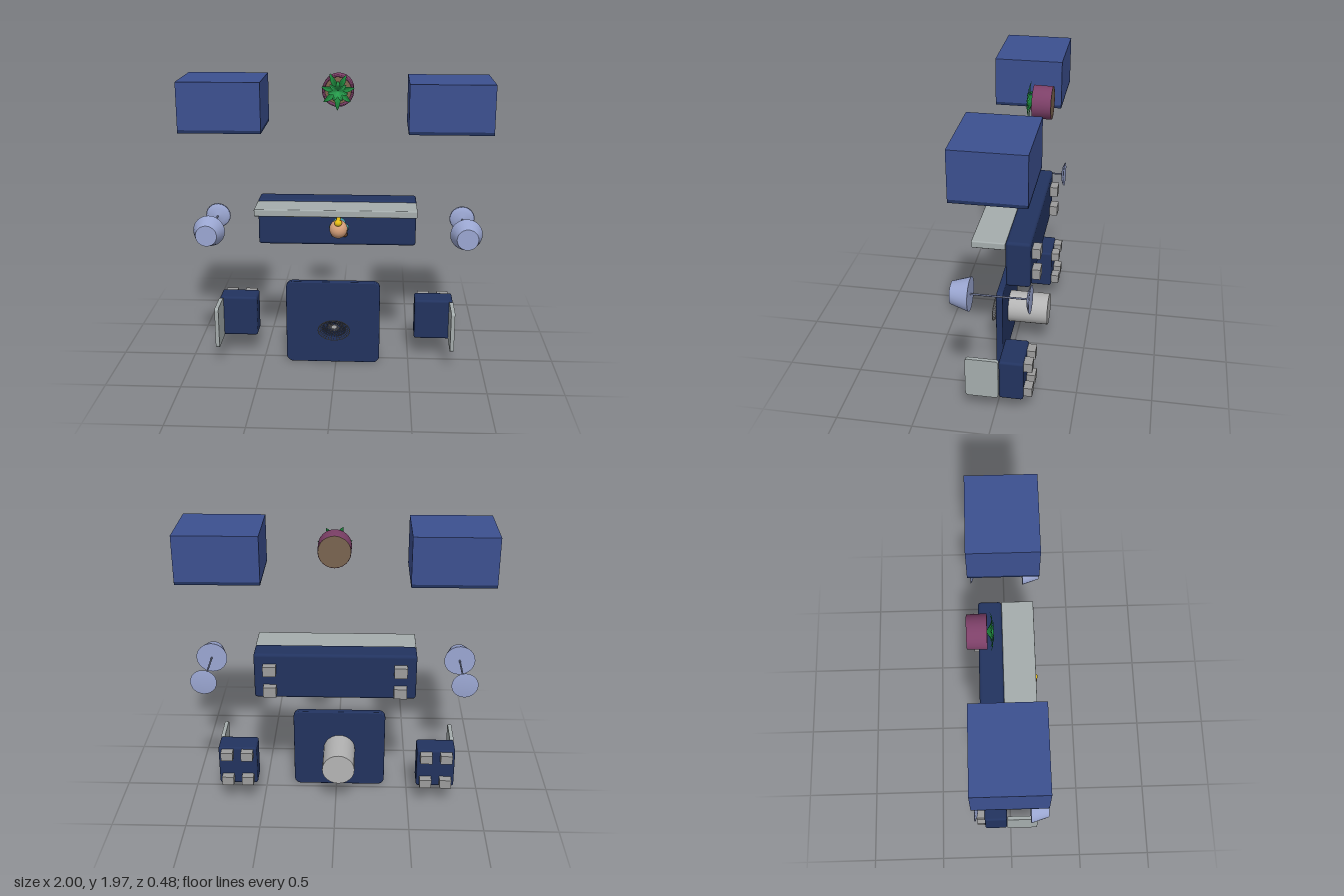
import * as THREE from 'three';
import { RoundedBoxGeometry } from 'three/addons/geometries/RoundedBoxGeometry.js';

const NAVY = 0x22335f, BLUE = 0x3c5090, GREY = 0xa5adad, LEG = 0x9c9c9c, LILAC = 0x9ba7d2;
const SKIN = 0xd9a27c, TEAL = 0x4699a8, HAIR = 0xe6bd14, BROWN = 0x6f4526;

function add(parent, name, geo, color, x = 0, y = 0, z = 0, flat = false) {
  const mat = new THREE.MeshStandardMaterial({ color, side: THREE.DoubleSide, flatShading: flat });
  const mesh = new THREE.Mesh(geo, mat);
  mesh.name = name;
  mesh.position.set(x, y, z);
  parent.add(mesh);
  return mesh;
}

function group(parent, name, x = 0, y = 0, z = 0) {
  const g = new THREE.Group();
  g.name = name;
  g.position.set(x, y, z);
  parent.add(g);
  return g;
}

// Box given by its limits; r rounds the edges
function block(parent, name, color, [x0, x1], [y0, y1], [z0, z1], r = 0) {
  const s = [x1 - x0, y1 - y0, z1 - z0];
  const geo = r ? new RoundedBoxGeometry(...s, 3, r) : new THREE.BoxGeometry(...s);
  return add(parent, name, geo, color, (x0 + x1) / 2, (y0 + y1) / 2, (z0 + z1) / 2);
}

// Cylinder along z, from z0 (radius r0) to z1 (radius r1)
function rod(parent, name, color, x, y, z0, z1, r0, r1 = r0, sides = 20, open = false) {
  const geo = new THREE.CylinderGeometry(r1, r0, z1 - z0, sides, 1, open).rotateX(Math.PI / 2);
  return add(parent, name, geo, color, x, y, (z0 + z1) / 2);
}

function tube(parent, name, color, points, r, n = 12) {
  const curve = new THREE.CatmullRomCurve3(points.map((p) => new THREE.Vector3(...p)));
  return add(parent, name, new THREE.TubeGeometry(curve, n, r, 10), color);
}

function ball(parent, name, color, pos, size) {
  return add(parent, name, new THREE.SphereGeometry(1, 20, 14).scale(...size), color, ...pos);
}

// Plate in the xy plane with rounded corners
function roundedRect(w, h, r) {
  const s = new THREE.Shape(), a = w / 2 - r, b = h / 2 - r;
  s.absarc(a, b, r, 0, Math.PI / 2);
  s.absarc(-a, b, r, Math.PI / 2, Math.PI);
  s.absarc(-a, -b, r, Math.PI, Math.PI * 1.5);
  s.absarc(a, -b, r, Math.PI * 1.5, Math.PI * 2);
  return s;
}

function feet(parent, xs, ys, w, h) {
  for (const x of xs) for (const y of ys)
    block(parent, 'foot', LEG, [x - w / 2, x + w / 2], [y - h / 2, y + h / 2], [-0.24, -0.18]);
}

// Cabinet whose drawer front faces -y
function cabinet(root, x0, x1, y0, y1) {
  const g = group(root, 'cabinet');
  const cx = (x0 + x1) / 2, w = x1 - x0;
  block(g, 'cabinetBody', BLUE, [x0, x1], [y0 + 0.02, y1], [-0.24, 0.21]);
  const frame = roundedRect(w, 0.45, 0.002);
  for (const [z, d] of [[-0.145, 0.07], [-0.025, 0.11], [0.11, 0.11]]) {
    const hole = new THREE.Path();
    const a = w / 2 - 0.05;
    hole.moveTo(-a, z + 0.015 - d / 2).lineTo(-a, z + 0.015 + d / 2)
      .lineTo(a, z + 0.015 + d / 2).lineTo(a, z + 0.015 - d / 2).closePath();
    frame.holes.push(hole);
  }
  const face = new THREE.ExtrudeGeometry(frame, { depth: 0.02, bevelEnabled: false }).rotateX(Math.PI / 2);
  add(g, 'drawerFrame', face, NAVY, cx, y0 + 0.02, -0.015);
  for (const z of [-0.025, 0.11]) {
    block(g, 'drawer', 0x7d7a78, [cx - w / 2 + 0.065, cx + w / 2 - 0.065], [y0 + 0.006, y0 + 0.03], [z - 0.042, z + 0.042]);
    ball(g, 'drawerKnob', 0x25252c, [cx, y0 + 0.006, z], [0.025, 0.008, 0.016]);
  }
}

function lamp(root, x, y) {
  const g = group(root, 'lamp', x, y, 0);
  const dome = [[0.001, -0.24], [0.087, -0.24], [0.08, -0.231], [0.05, -0.22], [0.001, -0.212]];
  add(g, 'lampBase', new THREE.LatheGeometry(dome.map((p) => new THREE.Vector2(...p)), 24).rotateX(Math.PI / 2), LILAC);
  rod(g, 'lampPole', 0x7780a0, 0, 0, -0.22, 0.14, 0.006, 0.006, 8);
  rod(g, 'lampShade', LILAC, 0, 0, 0.125, 0.24, 0.106, 0.07, 24);
}

function armchair(root, side, x0, x1) {
  const g = group(root, 'armchair');
  block(g, 'chairSeat', NAVY, [x0, x1], [0.14, 0.425], [-0.185, -0.028], 0.016);
  const back = side > 0 ? [x1 - 0.026, x1] : [x0, x0 + 0.026];
  const slab = new THREE.ExtrudeGeometry(roundedRect(0.215, 0.285, 0.02), { depth: 0.026, bevelEnabled: false });
  slab.rotateY(Math.PI / 2);
  add(g, 'chairBack', slab, GREY, back[0], 0.282, 0.082);
  const c = (x0 + x1) / 2;
  feet(g, [c - 0.068, c + 0.068], [0.19, 0.383], 0.08, 0.062);
}

// Pointed leaf arching outward from the pot, folded along its middle
function leaf(angle, length, width, height) {
  const n = 8, pos = [], idx = [];
  for (let i = 0; i <= n; i++) {
    const t = i / n, w = width * Math.sin(Math.PI * Math.min(1, 0.12 + 0.88 * t)) ** 0.8;
    const z = height * Math.sin(t * 2.3);
    pos.push(length * t, -w, z + w * 0.3, length * t, 0, z, length * t, w, z + w * 0.3);
    if (i < n) for (let k = 0; k < 2; k++) {
      const a = i * 3 + k;
      idx.push(a, a + 3, a + 1, a + 1, a + 3, a + 4);
    }
  }
  const geo = new THREE.BufferGeometry();
  geo.setAttribute('position', new THREE.Float32BufferAttribute(pos, 3));
  geo.setIndex(idx);
  geo.computeVertexNormals();
  return geo.rotateZ(angle);
}

function plant(root) {
  const g = group(root, 'pottedPlant', 0.005, 1.857, 0);
  const pot = [[0.103, -0.24], [0.106, -0.12], [0.09, -0.12], [0.088, -0.135]];
  add(g, 'pot', new THREE.LatheGeometry(pot.map((p) => new THREE.Vector2(...p)), 24).rotateX(Math.PI / 2), 0x7d4068);
  rod(g, 'potBottom', 0x7a6450, 0, 0, -0.239, -0.23, 0.102);
  rod(g, 'soil', 0x80654e, 0, 0, -0.15, -0.135, 0.089);
  for (let i = 0; i < 7; i++) {
    const a = i * Math.PI * 2 / 7 + 0.2;
    add(g, 'outerLeaf', leaf(a, 0.112 + 0.016 * (i % 3) / 2, 0.019, 0.035), 0x1d8a3e, 0, 0, -0.128, true);
    add(g, 'innerLeaf', leaf(a + 0.45, 0.07, 0.015, 0.04), 0x25994a, 0, 0, -0.124, true);
  }
}

function sofa(root) {
  const g = group(root, 'sofa');
  block(g, 'sofaSeat', NAVY, [-0.53, 0.535], [0.82, 1.137], [-0.187, -0.028], 0.02);
  block(g, 'sofaBack', GREY, [-0.53, 0.535], [1.08, 1.128], [-0.028, 0.187], 0.008);
  feet(g, [-0.425, 0.43], [0.885, 1.035], 0.085, 0.07);
}

function person(root) {
  const g = group(root, 'seatedFigure', 0.02, 0, 0);
  ball(g, 'head', SKIN, [0, 0.987, 0.135], [0.06, 0.062, 0.063]);
  ball(g, 'hairBun', HAIR, [0, 1.04, 0.175], [0.025, 0.022, 0.025]);
  tube(g, 'hair', HAIR, [[0, 1.045, 0.175], [0, 1.052, 0.12], [0, 1.045, 0.06], [0, 1.03, 0.005]], 0.015);
  ball(g, 'torso', TEAL, [0, 0.995, 0.035], [0.045, 0.037, 0.065]);
  for (const s of [-1, 1]) {
    tube(g, 'arm', TEAL, [[s * 0.035, 1, 0.08], [s * 0.053, 0.975, 0.05], [s * 0.045, 0.945, 0.03]], 0.014);
    ball(g, 'hand', SKIN, [s * 0.042, 0.935, 0.03], [0.013, 0.015, 0.013]);
    tube(g, 'leg', SKIN, [[s * 0.022, 0.99, 0], [s * 0.028, 0.945, 0.035], [s * 0.034, 0.912, -0.005]], 0.016);
    ball(g, 'shoe', BROWN, [s * 0.036, 0.905, -0.008], [0.02, 0.019, 0.018]);
  }
}

function table(root) {
  const g = group(root, 'table', -0.02, 0.295, 0);
  const top = new THREE.ExtrudeGeometry(roundedRect(0.624, 0.574, 0.038),
    { depth: 0.029, bevelSize: 0.008, bevelThickness: 0.008, bevelSegments: 3, curveSegments: 6 });
  add(g, 'tableTop', top, NAVY, 0, 0, 0.043);
  rod(g, 'tablePedestal', 0xb4b4b4, 0, 0, -0.24, 0.036, 0.11, 0.11, 24);
}

// Oval wire bowl opening towards +z
function bowl(root) {
  const g = group(root, 'wireBowl', -0.01, 0.265, 0.081);
  g.scale.y = 0.68;
  const profile = (t) => [0.015 + 0.092 * t, 0.003 + 0.06 * t * t];
  for (let i = 0; i <= 7; i++) {
    const [r, z] = profile(i / 7);
    add(g, 'bowlRing', new THREE.TorusGeometry(r, i === 7 ? 0.0035 : 0.0016, 5, 36), 0x8c8a88, 0, 0, z);
  }
  for (let i = 0; i < 32; i++) {
    const a = i * Math.PI / 16;
    const pts = [0, 0.33, 0.67, 1].map((t) => {
      const [r, z] = profile(t);
      return [r * Math.cos(a), r * Math.sin(a), z];
    });
    tube(g, 'bowlRib', 0x77736f, pts, 0.0015, 6);
  }
  rod(g, 'bowlBase', 0xb0b0b0, 0, 0, 0, 0.005, 0.018);
}

export function createModel() {
  const root = new THREE.Group();
  root.name = 'livingRoomSet';
  cabinet(root, -1, -0.468, 1.632, 1.957);
  cabinet(root, 0.465, 1, 1.635, 1.952);
  plant(root);
  sofa(root);
  person(root);
  lamp(root, -0.84, 0.957);
  lamp(root, 0.86, 0.957);
  armchair(root, -1, -0.815, -0.555);
  armchair(root, 1, 0.54, 0.803);
  table(root);
  bowl(root);
  return root;
}
